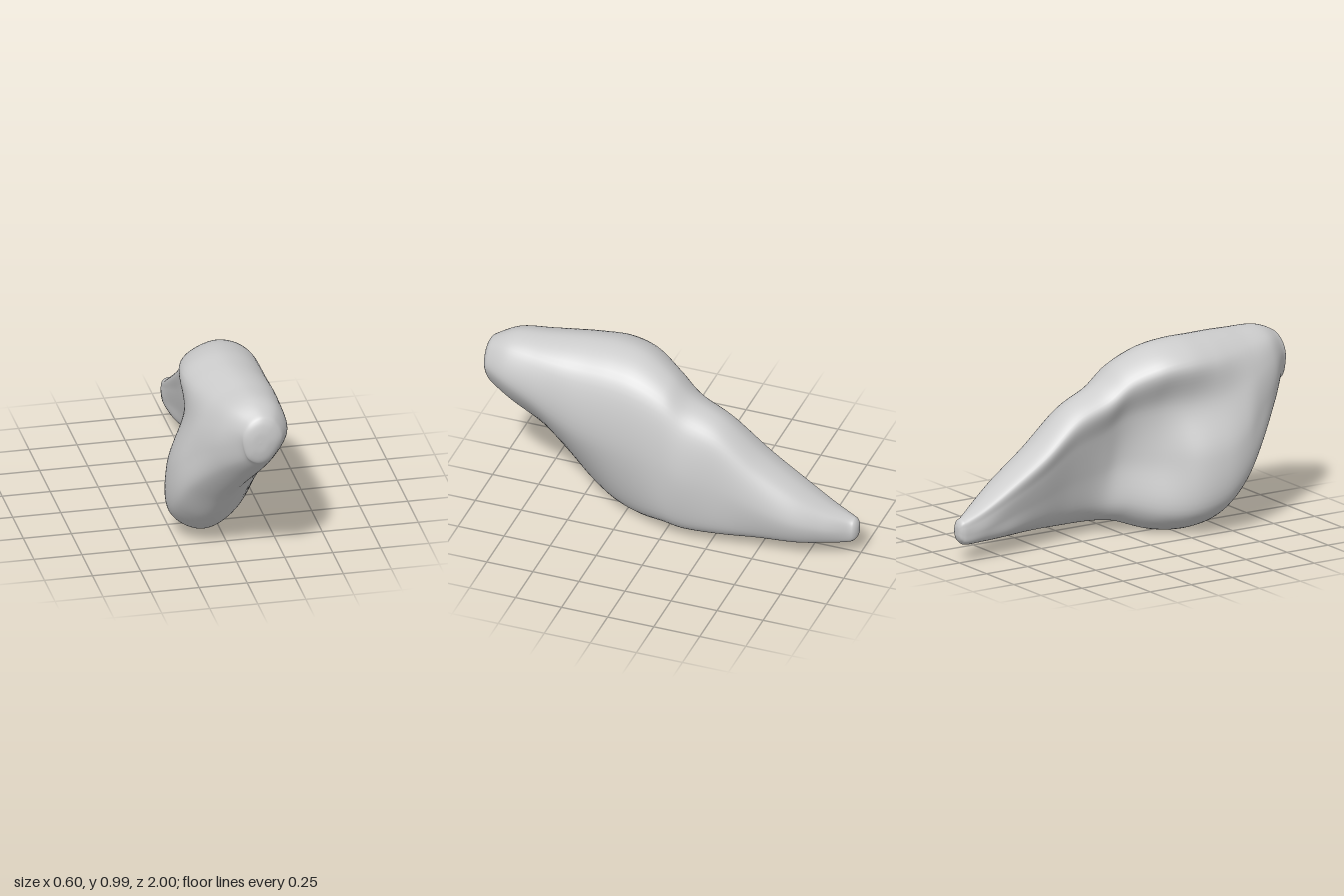
import * as THREE from 'three';

// Slices along z: z, bottom y, top y, left x at four heights, right x at three heights (low to high)
const SLICES = [
  [-0.95, 0.085, 0.235, -0.01, -0.02, -0.02, -0.01, 0.07, 0.085, 0.07],
  [-0.85, 0.08, 0.29, -0.01, -0.03, -0.03, -0.02, 0.12, 0.15, 0.12],
  [-0.70, 0.075, 0.39, 0.00, -0.02, -0.035, -0.03, 0.18, 0.22, 0.17],
  [-0.50, 0.07, 0.53, 0.04, 0.00, -0.03, -0.04, 0.21, 0.25, 0.20],
  [-0.30, 0.06, 0.70, 0.07, 0.02, -0.02, -0.04, 0.24, 0.265, 0.215],
  [-0.12, 0.055, 0.79, 0.06, 0.02, -0.02, -0.06, 0.26, 0.295, 0.23],
  [0.00, 0.05, 0.89, -0.02, -0.01, -0.04, -0.09, 0.25, 0.29, 0.23],
  [0.15, 0.008, 0.965, -0.16, -0.12, -0.10, -0.16, 0.19, 0.28, 0.225],
  [0.30, 0.008, 0.99, -0.25, -0.25, -0.17, -0.19, 0.13, 0.27, 0.22],
  [0.45, 0.06, 0.988, -0.28, -0.295, -0.21, -0.175, 0.06, 0.26, 0.22],
  [0.58, 0.18, 0.983, -0.27, -0.28, -0.21, -0.14, 0.03, 0.25, 0.22],
  [0.70, 0.35, 0.975, -0.22, -0.22, -0.18, -0.10, 0.06, 0.25, 0.21],
  [0.85, 0.53, 0.965, -0.10, -0.13, -0.11, -0.05, 0.13, 0.24, 0.19],
  [0.95, 0.635, 0.925, 0.00, -0.03, -0.03, 0.01, 0.14, 0.20, 0.16],
];

// Nine control points round one slice, anticlockwise seen from the front
function sliceRing([z, y0, y1, l1, l2, l3, l4, r1, r2, r3]) {
  return [
    [(l1 + r1) / 2, 0], [r1, 0.12], [r2, 0.52], [r3, 0.88],
    [(l4 + r3) / 2, 1], [l4, 0.9], [l3, 0.68], [l2, 0.4], [l1, 0.12],
  ].map(([x, t]) => new THREE.Vector3(x, y0 + (y1 - y0) * t, z));
}

// Shrunken copies of an end slice, used to round off the tips
function cap(ring, sign) {
  const c = ring.reduce((s, p) => s.add(p), new THREE.Vector3()).divideScalar(ring.length);
  return [[0.78, 0.982], [0.42, 0.997], [0.001, 1]].map(([scale, z]) =>
    ring.map((p) => p.clone().sub(c).multiplyScalar(scale).add(c).setZ(sign * z)));
}

function loftGeometry(rings, along, around) {
  const rails = rings[0].map((_, k) =>
    new THREE.CatmullRomCurve3(rings.map((r) => r[k]), false, 'catmullrom', 0.5));
  const positions = [];
  const index = [];
  for (let i = 0; i <= along; i++) {
    const loop = new THREE.CatmullRomCurve3(rails.map((r) => r.getPoint(i / along)), true, 'catmullrom', 0.5);
    for (let j = 0; j < around; j++) {
      positions.push(...loop.getPoint(j / around).toArray());
      if (i === along) continue;
      const a = i * around + j;
      const b = i * around + (j + 1) % around;
      index.push(a, b, a + around, b, b + around, a + around);
    }
  }
  const geometry = new THREE.BufferGeometry();
  geometry.setAttribute('position', new THREE.Float32BufferAttribute(positions, 3));
  geometry.setIndex(index);
  geometry.computeVertexNormals();
  return geometry;
}

export function createModel() {
  const group = new THREE.Group();
  group.name = 'boneFragment';

  // Smooth curved slab with a lower side lobe and a tapering rear tip
  const rings = SLICES.map(sliceRing);
  const all = [...cap(rings[0], -1).reverse(), ...rings, ...cap(rings[rings.length - 1], 1)];
  const material = new THREE.MeshStandardMaterial({ color: 0xcccccc });
  const body = new THREE.Mesh(loftGeometry(all, 152, 72), material);
  body.name = 'body';
  group.add(body);
  return group;
}
